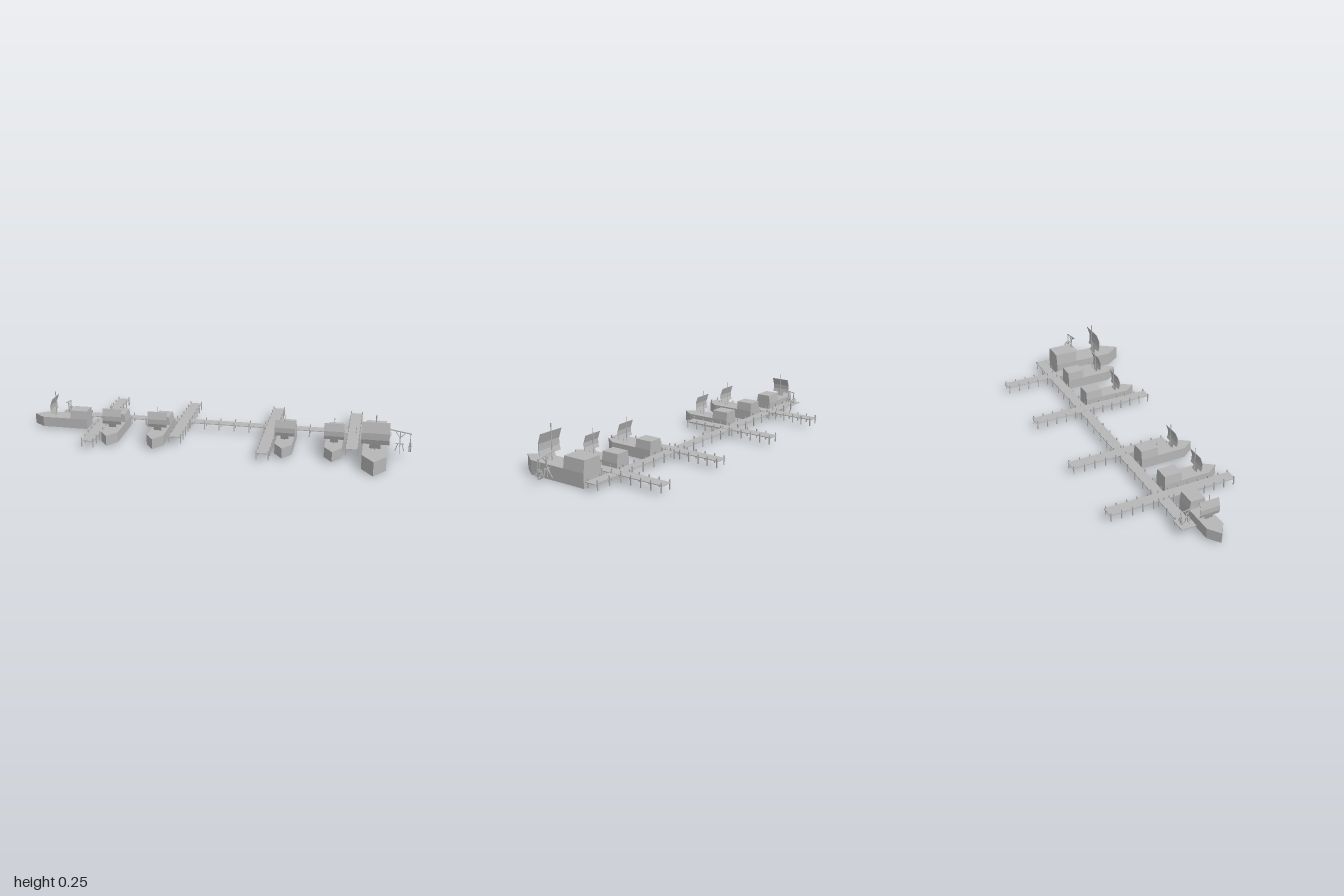
import * as THREE from 'three';

const grey = new THREE.MeshStandardMaterial({ color: 0xb6b6b6 });
grey.name = 'plainGrey';

function add(parent, name, geometry, x = 0, y = 0, z = 0) {
  const mesh = new THREE.Mesh(geometry, grey);
  mesh.name = name;
  mesh.position.set(x, y, z);
  parent.add(mesh);
  return mesh;
}

function extrude(points, depth) {
  const shape = new THREE.Shape(points.map(([x, y]) => new THREE.Vector2(x, y)));
  return new THREE.ExtrudeGeometry(shape, { depth, bevelEnabled: false });
}

// Square timber between two points
function beam(parent, name, from, to, thickness) {
  const a = new THREE.Vector3(...from), b = new THREE.Vector3(...to);
  const mesh = add(parent, name, new THREE.BoxGeometry(thickness, a.distanceTo(b), thickness));
  mesh.position.copy(a).add(b).multiplyScalar(0.5);
  mesh.quaternion.setFromUnitVectors(new THREE.Vector3(0, 1, 0), b.sub(a).normalize());
}

// Strip of sail: side profile [forward, up] given thickness and swept across the ship
function sailStrip(profile, width) {
  const back = profile.map(([z, y]) => [z - 0.0025, y]).reverse();
  return extrude([...profile, ...back], width).rotateY(-Math.PI / 2).translate(width / 2, 0, 0);
}

// Ship with its stern at z = 0 and its bow towards +z
function makeShip(name) {
  const ship = new THREE.Group();
  ship.name = name;
  const w = 0.0435, h = 0.053, mastZ = 0.185;
  const plan = [[-w, 0], [w, 0], [w, 0.245], [0, 0.305], [-w, 0.245]];
  add(ship, 'hull', extrude(plan, h).rotateX(Math.PI / 2), 0, h, 0);
  const section = [[-w, 0], [w, 0], [0.037, 0.044], [-0.037, 0.044]];
  add(ship, 'cabin', extrude(section, 0.092), 0, h, 0);
  add(ship, 'mast', new THREE.CylinderGeometry(0.002, 0.002, 0.132, 8), 0, h + 0.066, mastZ);
  add(ship, 'sail', sailStrip([[0.002, 0.157], [0.015, 0.12], [0.015, 0.095], [0.009, 0.077]], 0.1), 0, 0, mastZ);
  add(ship, 'sailFoot', sailStrip([[0.009, 0.077], [0.002, 0.058]], 0.04), 0, 0, mastZ);
  return ship;
}

// Treadwheel crane: jib along x, wheel at the +x end
function makeCrane(name) {
  const crane = new THREE.Group();
  crane.name = name;
  const t = 0.005;
  beam(crane, 'jib', [-0.055, 0.112, 0], [0.055, 0.094, 0], t);
  beam(crane, 'post', [0, 0, 0], [0, 0.104, 0], t);
  beam(crane, 'brace', [0, 0.07, 0], [-0.025, 0.106, 0], 0.003);
  beam(crane, 'brace', [0, 0.07, 0], [0.025, 0.098, 0], 0.003);
  for (const s of [-1, 1]) {
    beam(crane, 'trestleLeg', [s * 0.022, 0, 0], [s * 0.01, 0.04, 0], 0.004);
    beam(crane, 'sideLeg', [0, 0, s * 0.034], [0, 0.045, 0], 0.004);
    beam(crane, 'wheelHanger', [0.05, 0.03, s * 0.005], [0.05, 0.096, s * 0.005], 0.003);
  }
  beam(crane, 'trestleTop', [-0.02, 0.04, 0], [0.02, 0.04, 0], 0.004);
  // Treadwheel with two rims and spokes
  for (const x of [0.046, 0.054]) {
    add(crane, 'wheelRim', new THREE.TorusGeometry(0.022, 0.002, 6, 16).rotateY(Math.PI / 2), x, 0.026, 0);
  }
  for (let i = 0; i < 4; i++) {
    const a = (i * Math.PI) / 4, y = 0.022 * Math.cos(a), z = 0.022 * Math.sin(a);
    beam(crane, 'wheelSpoke', [0.05, 0.026 - y, -z], [0.05, 0.026 + y, z], 0.003);
  }
  return crane;
}

export function createModel() {
  const harbour = new THREE.Group();
  harbour.name = 'harbour';
  const pier = new THREE.Group();
  pier.name = 'pier';
  harbour.add(pier);

  const deckY = 0.042, pierZ = -0.094, half = 0.03;
  const postGeo = new THREE.BoxGeometry(0.005, 0.048, 0.005);
  const post = (x, z) => add(pier, 'post', postGeo, x, 0.033, z);

  // Long walkway
  add(pier, 'walkway', new THREE.BoxGeometry(1.78, 0.004, 0.055), 0.01, deckY, pierZ);
  add(pier, 'craneLanding', new THREE.BoxGeometry(0.08, 0.004, 0.076), -0.84, deckY + 0.001, pierZ - 0.002);
  for (let i = -10; i <= 11; i++) {
    for (const s of [-1, 1]) post(i * 0.08, pierZ + s * 0.0275);
  }

  // Cross jetties: x, front end
  for (const [x, front] of [[-0.613, 0.297], [-0.19, 0.158], [0.283, 0.297], [0.71, 0.158]]) {
    const back = -0.377, length = front - back;
    add(pier, 'jetty', new THREE.BoxGeometry(half * 2, 0.004, length), x, deckY + 0.001, (front + back) / 2);
    const spans = Math.round(length / 0.057);
    for (let i = 0; i <= spans; i++) {
      const z = back + 0.007 + ((length - 0.014) * i) / spans;
      for (const s of [-1, 1]) post(x + s * half, z);
    }
  }

  // Moored ships
  for (const x of [-0.524, -0.283, 0.374, 0.62]) {
    const ship = makeShip('smallShip');
    ship.position.set(x, 0.009, -0.048);
    harbour.add(ship);
  }
  const bigShip = makeShip('bigShip');
  bigShip.scale.setScalar(1.36);
  bigShip.position.set(0.823, 0, -0.041);
  harbour.add(bigShip);
  const endShip = makeShip('endShip');
  endShip.rotation.y = -Math.PI / 2;
  endShip.position.set(-0.695, 0.009, 0.002);
  harbour.add(endShip);

  // Cranes
  const bigCrane = makeCrane('bigCrane');
  bigCrane.position.set(0.942, 0.04, 0.128);
  harbour.add(bigCrane);
  const smallCrane = makeCrane('smallCrane');
  smallCrane.scale.setScalar(0.68);
  smallCrane.rotation.y = Math.PI / 2;
  smallCrane.position.set(-0.84, 0.042, -0.082);
  harbour.add(smallCrane);

  return harbour;
}
